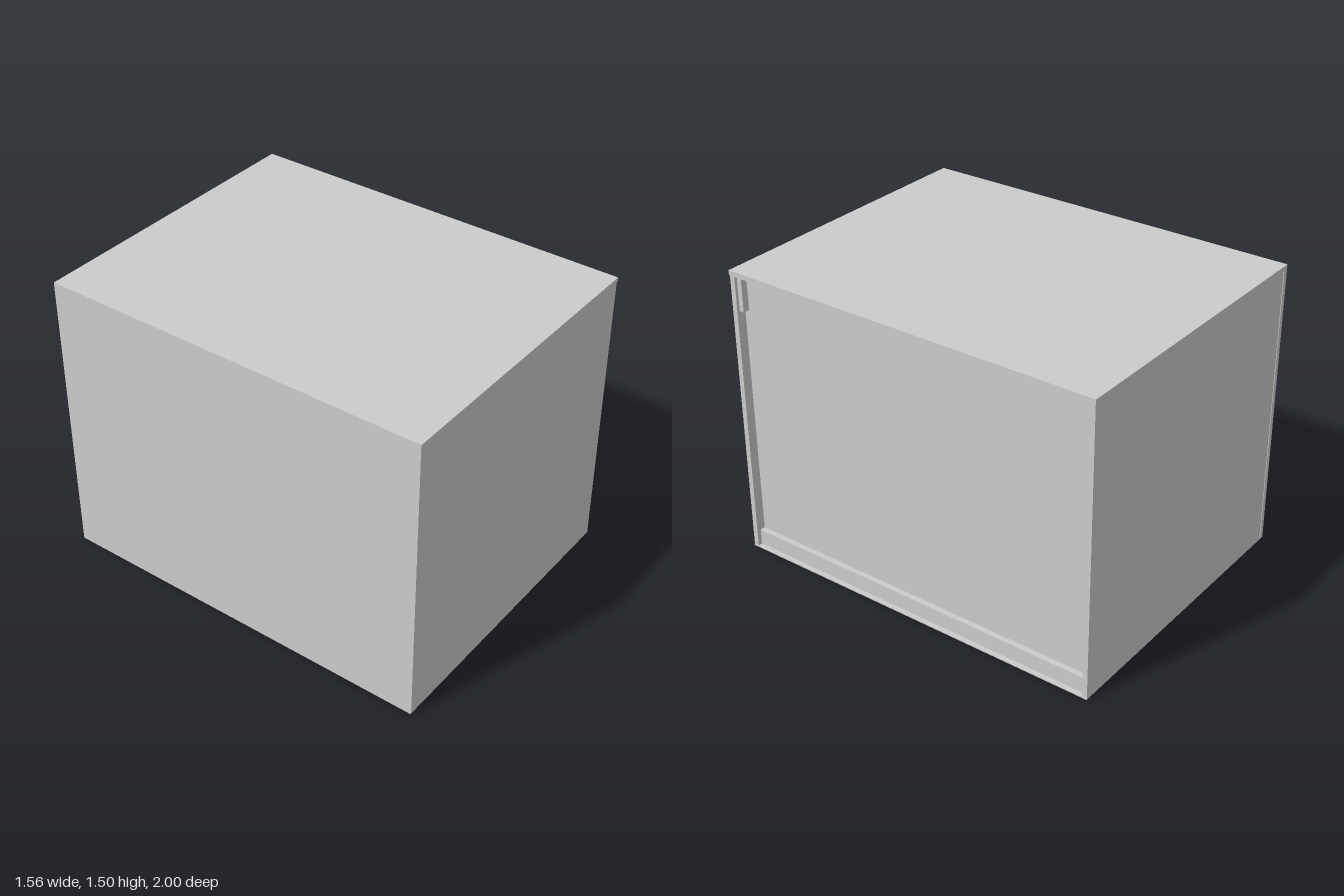
import * as THREE from 'three';

const material = new THREE.MeshStandardMaterial({ color: 0xcccccc });

export function createModel() {
  const group = new THREE.Group();

  // Adds a box given by its extents along each axis.
  function board(name, [x0, x1], [y0, y1], [z0, z1]) {
    const mesh = new THREE.Mesh(new THREE.BoxGeometry(x1 - x0, y1 - y0, z1 - z0), material);
    mesh.position.set((x0 + x1) / 2, (y0 + y1) / 2, (z0 + z1) / 2);
    mesh.name = name;
    group.add(mesh);
  }

  // Carcass: lid, thin base plate and the flush side
  board('lid', [-0.78, 0.78], [1.475, 1.5], [-1, 1]);
  board('basePlate', [-0.78, 0.78], [0, 0.006], [-0.997, 0.997]);
  board('closedSide', [-0.78, -0.755], [0.006, 1.475], [-1, 1]);

  // Front and back walls, each with a corner bracket inside the recess
  for (const s of [1, -1]) {
    const span = (a, b) => [Math.min(s * a, s * b), Math.max(s * a, s * b)];
    board(s > 0 ? 'frontWall' : 'backWall', [-0.755, 0.777], [0.006, 1.475], span(0.97, 0.997));
    board(s > 0 ? 'frontBracket' : 'backBracket', [0.725, 0.762], [1.295, 1.475], span(0.945, 0.97));
  }

  // Recessed side panel standing behind a low plinth
  board('recessedPanel', [0.7, 0.727], [0.006, 1.475], [-0.97, 0.97]);
  board('plinth', [0.727, 0.755], [0.006, 0.088], [-0.97, 0.97]);

  return group;
}
